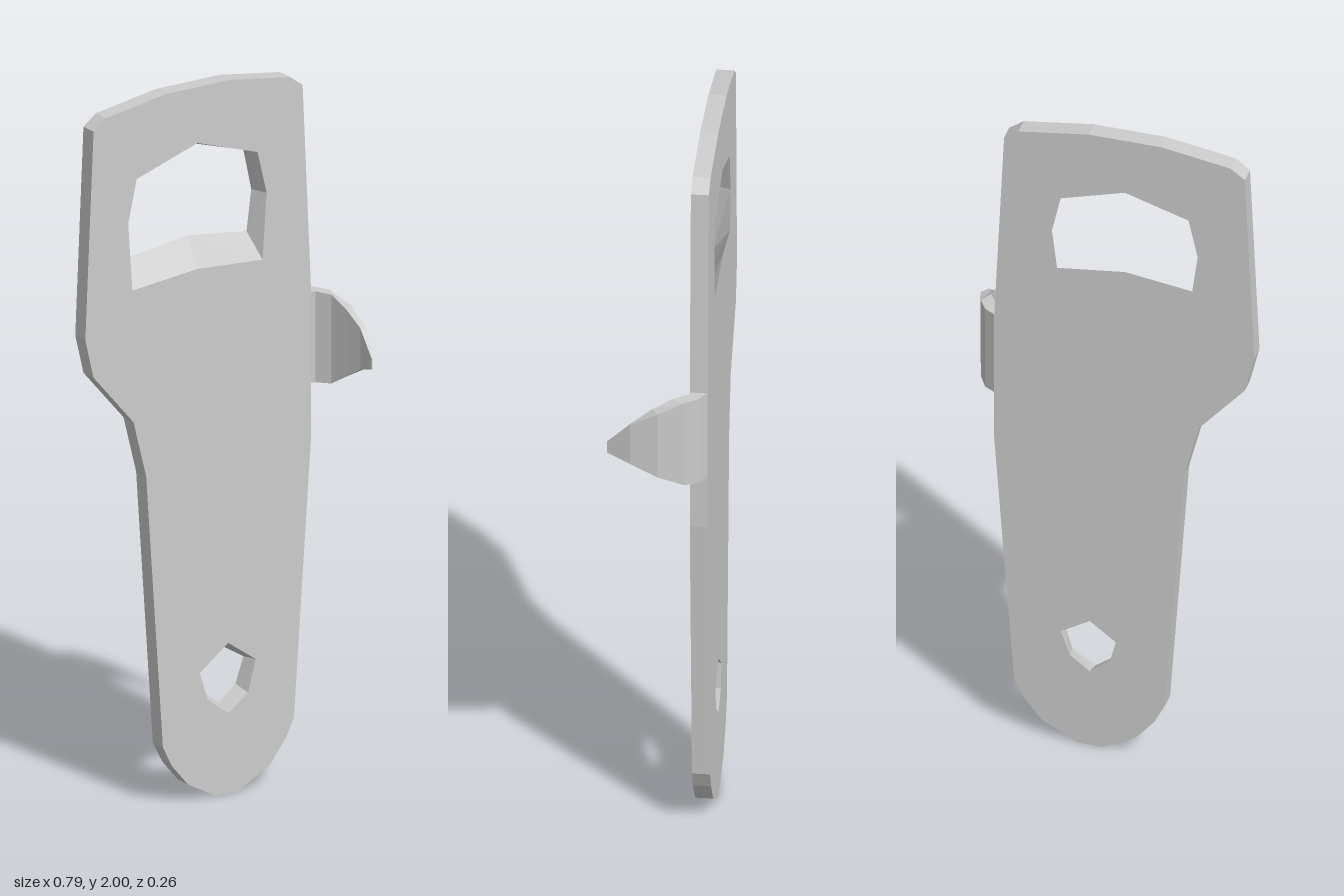
import * as THREE from 'three';

const BACK = -0.131, FRONT = -0.083;
const material = new THREE.MeshStandardMaterial({ color: 0xcccccc, flatShading: true });
const toPoints = list => list.map(([x, y]) => new THREE.Vector2(x, y));

// Plate outline, counter-clockwise from the top left corner
const outline = [
  [-0.33, 1.97], [-0.37, 1.94], [-0.396, 1.36], [-0.37, 1.25], [-0.243, 1.1], [-0.203, 0.94],
  [-0.15, 0.17], [-0.12, 0.11], [-0.07, 0.05], [0.02, 0], [0.09, 0], [0.19, 0.055],
  [0.24, 0.12], [0.265, 0.17], [0.32, 0.95], [0.32, 1.355], [0.293, 1.94], [0.253, 1.97],
  [0.06, 2], [-0.14, 2],
];

// Each opening is wider at the front than at the back
const openings = [
  { // bottle opening
    front: [[-0.247, 1.47], [-0.26, 1.66], [-0.233, 1.78], [-0.04, 1.843], [0.15, 1.78],
      [0.179, 1.66], [0.166, 1.475], [-0.04, 1.49]],
    back: [[-0.225, 1.545], [-0.24, 1.66], [-0.215, 1.775], [-0.04, 1.83], [0.137, 1.775],
      [0.162, 1.66], [0.147, 1.545], [-0.04, 1.57]],
  },
  { // hanging hole
    front: [[-0.033, 0.355], [0.057, 0.422], [0.144, 0.36], [0.12, 0.27], [0.057, 0.225], [-0.008, 0.275]],
    back: [[-0.015, 0.35], [0.057, 0.405], [0.137, 0.355], [0.112, 0.283], [0.057, 0.24], [0.002, 0.285]],
  },
];

function makePlate() {
  const shape = new THREE.Shape(toPoints(outline));
  for (const o of openings) shape.holes.push(new THREE.Path(toPoints(o.front)));
  const geo = new THREE.ExtrudeGeometry(shape, { depth: FRONT - BACK, bevelEnabled: false });
  geo.translate(0, 0, BACK);
  // Taper the openings by moving their rear corners inwards
  const pos = geo.attributes.position;
  for (let i = 0; i < pos.count; i++) {
    if (pos.getZ(i) > BACK + 0.01) continue;
    for (const { front, back } of openings) {
      const k = front.findIndex(([x, y]) => Math.hypot(x - pos.getX(i), y - pos.getY(i)) < 1e-4);
      if (k >= 0) pos.setXY(i, ...back[k]);
    }
  }
  geo.computeVertexNormals();
  const mesh = new THREE.Mesh(geo, material);
  mesh.name = 'plate';
  return mesh;
}

// Curved claw lofted through four-cornered sections that narrow to the tip
function makeClaw() {
  // outer x, z, inner x, z, bottom y, top y
  const sections = [
    [0.318, -0.131, 0.318, -0.083, 1.1, 1.355],
    [0.351, -0.112, 0.331, -0.079, 1.1, 1.355],
    [0.373, -0.075, 0.356, -0.04, 1.103, 1.352],
    [0.395, -0.005, 0.367, 0.012, 1.135, 1.325],
    [0.393, 0.068, 0.377, 0.066, 1.17, 1.285],
    [0.373, 0.131, 0.369, 0.131, 1.19, 1.222],
  ].map(([ox, oz, ix, iz, lo, hi]) => [[ix, lo, iz], [ox, lo, oz], [ox, hi, oz], [ix, hi, iz]]);
  const verts = [];
  const quad = (a, b, c, d) => verts.push(...a, ...b, ...c, ...a, ...c, ...d);
  for (let s = 0; s < sections.length - 1; s++) {
    const a = sections[s], b = sections[s + 1];
    for (let i = 0; i < 4; i++) {
      const j = (i + 1) % 4;
      quad(a[i], a[j], b[j], b[i]);
    }
  }
  quad(...sections[sections.length - 1]);
  const geo = new THREE.BufferGeometry();
  geo.setAttribute('position', new THREE.Float32BufferAttribute(verts, 3));
  geo.computeVertexNormals();
  const mesh = new THREE.Mesh(geo, material);
  mesh.name = 'claw';
  return mesh;
}

export function createModel() {
  const group = new THREE.Group();
  group.name = 'bottleOpener';
  group.add(makePlate(), makeClaw());
  return group;
}
